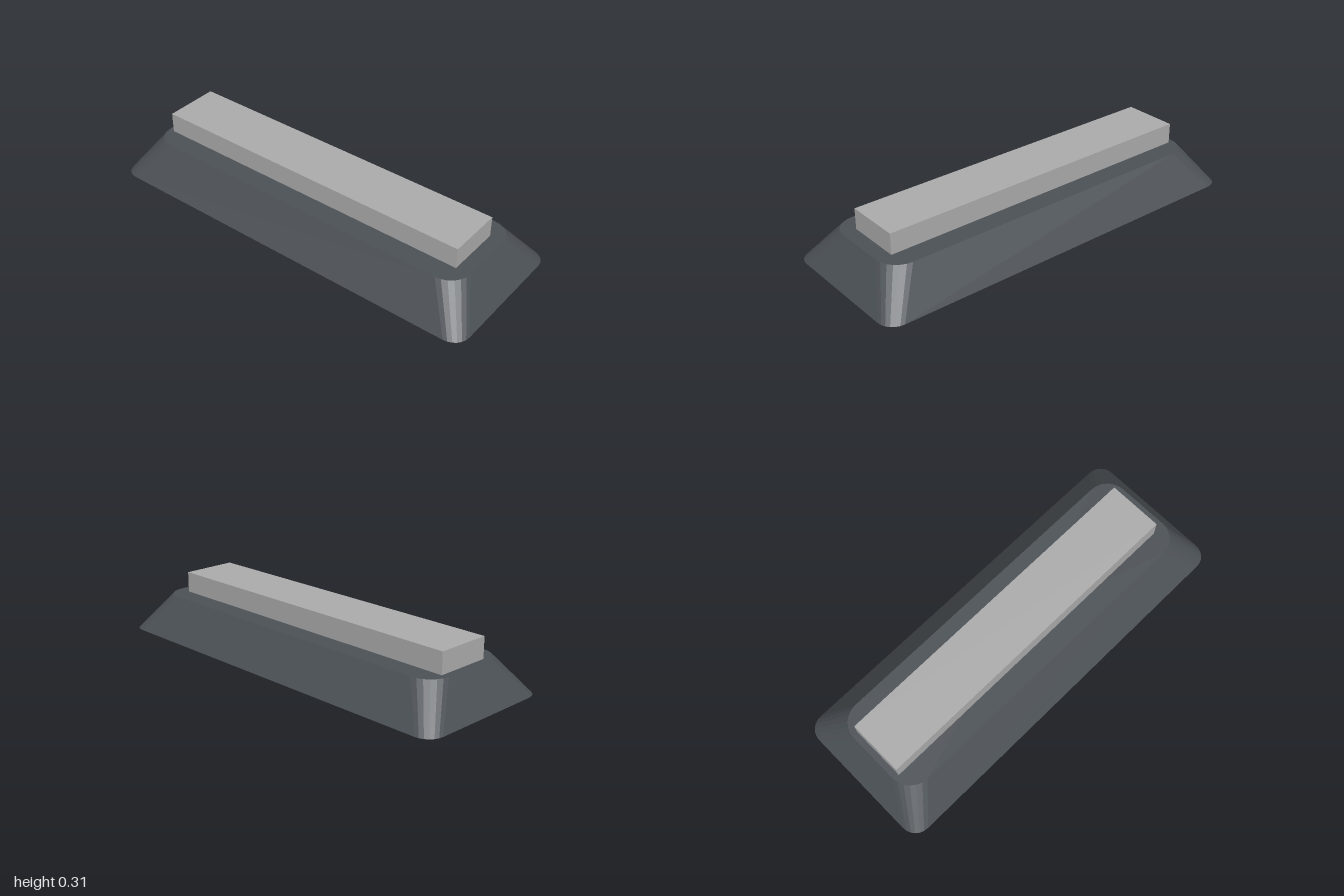
import * as THREE from 'three';

const SEGMENTS = 6; // per rounded corner

// Outline of a rounded rectangle, counter-clockwise seen from +y, as [x, z]
function roundedOutline(halfX, halfZ, radius) {
  const corners = [[1, -1], [-1, -1], [-1, 1], [1, 1]];
  const points = [];
  corners.forEach(([sx, sz], c) => {
    for (let i = 0; i <= SEGMENTS; i++) {
      const a = (c + i / SEGMENTS) * Math.PI / 2;
      points.push([
        sx * (halfX - radius) + radius * Math.cos(a),
        sz * (halfZ - radius) - radius * Math.sin(a),
      ]);
    }
  });
  return points;
}

// Hollow sloped cover: walls between two outlines plus a flat top, open below
function coverGeometry(bottom, top, yBottom, yTop) {
  const positions = [];
  const add = (p, y) => positions.push(p[0], y, p[1]);
  const count = bottom.length;
  for (let i = 0; i < count; i++) {
    const j = (i + 1) % count;
    add(bottom[i], yBottom); add(bottom[j], yBottom); add(top[j], yTop);
    add(bottom[i], yBottom); add(top[j], yTop); add(top[i], yTop);
    add([0, 0], yTop); add(top[i], yTop); add(top[j], yTop);
  }
  const geometry = new THREE.BufferGeometry();
  geometry.setAttribute('position', new THREE.Float32BufferAttribute(positions, 3));
  geometry.computeVertexNormals();
  return geometry;
}

// Box without its bottom face
function openBoxGeometry(w, h, d) {
  const geometry = new THREE.BoxGeometry(w, h, d);
  const index = Array.from(geometry.index.array);
  index.splice(18, 6); // the -y face
  geometry.setIndex(index);
  geometry.clearGroups();
  return geometry;
}

export function createModel() {
  const group = new THREE.Group();
  const darkGrey = new THREE.MeshStandardMaterial({ color: 0x4b5055, side: THREE.DoubleSide });
  darkGrey.name = 'darkGrey';
  const lightGrey = new THREE.MeshStandardMaterial({ color: 0xaaaaaa, side: THREE.DoubleSide });
  lightGrey.name = 'lightGrey';

  // Sloped housing
  const housing = new THREE.Mesh(
    coverGeometry(roundedOutline(0.37, 1, 0.08), roundedOutline(0.24, 0.89, 0.11), 0.022, 0.202),
    darkGrey,
  );
  housing.name = 'housing';
  group.add(housing);

  // Long block through the housing, slightly towards the back
  const bar = new THREE.Mesh(openBoxGeometry(0.276, 0.305, 1.68), lightGrey);
  bar.name = 'bar';
  bar.position.set(0, 0.1525, -0.02);
  group.add(bar);

  return group;
}
